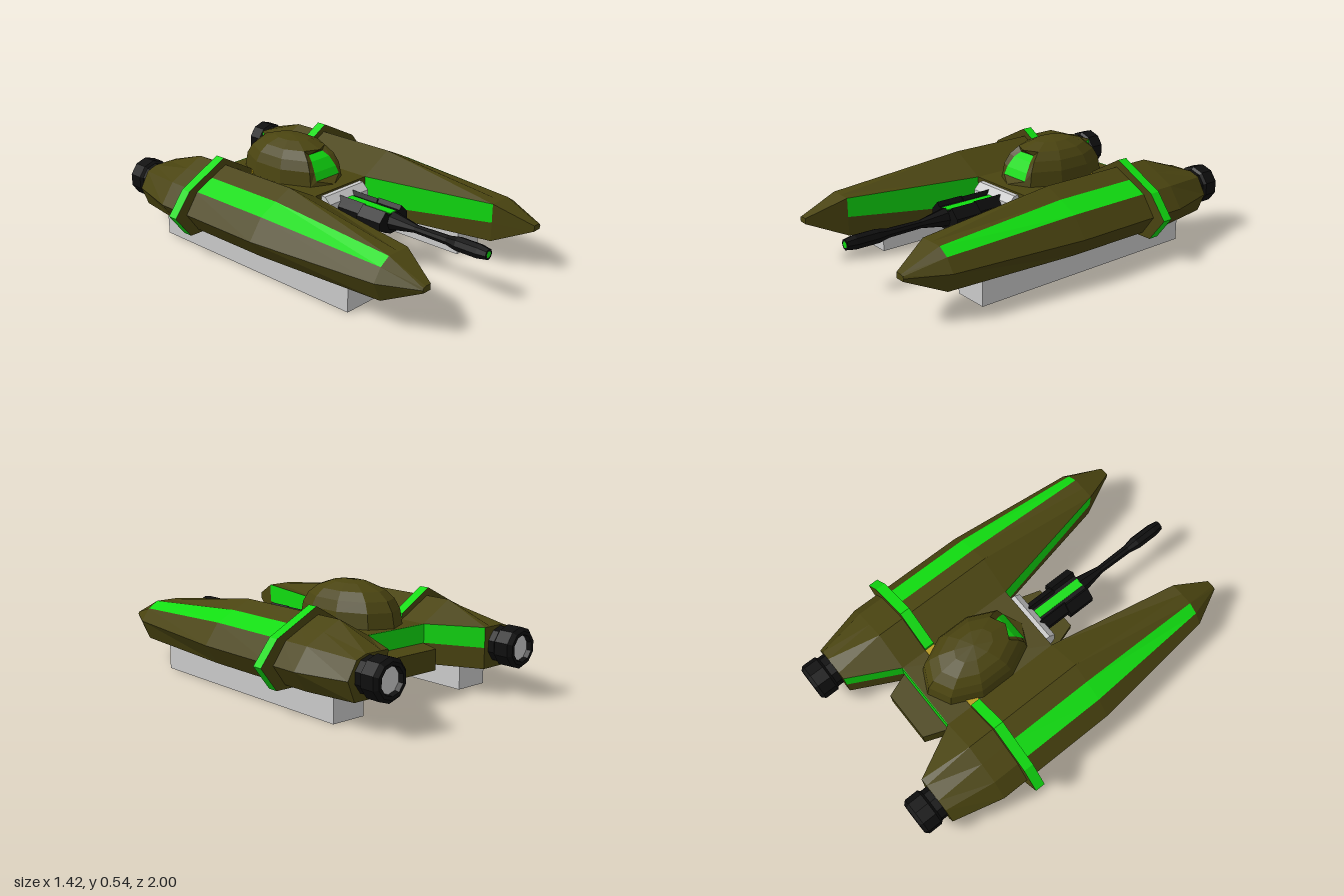
import * as THREE from 'three';

const mat = (name, color) => Object.assign(new THREE.MeshStandardMaterial({ color }), { name });

export function createModel() {
  const olive = mat('olive', 0x4a4410), green = mat('green', 0x10dc10), grey = mat('light grey', 0xcccccc);
  const black = mat('black', 0x0e0e0e), yellow = mat('dull yellow', 0xb89a10);
  const model = new THREE.Group();

  const add = (name, geometry, material, x = 0, y = 0, z = 0) => {
    const mesh = new THREE.Mesh(geometry, material);
    mesh.name = name;
    mesh.position.set(x, y, z);
    model.add(mesh);
    return mesh;
  };
  // faceted geometry from a list of corner points, three per triangle
  const faceted = (points) => {
    const g = new THREE.BufferGeometry();
    g.setAttribute('position', new THREE.Float32BufferAttribute(points.flat(), 3));
    g.computeVertexNormals();
    return g;
  };
  const quad = (out, a, b, c, d) => out.push(a, b, c, a, c, d);
  const box = (name, x0, x1, y0, y1, z0, z1, m) =>
    add(name, new THREE.BoxGeometry(x1 - x0, y1 - y0, z1 - z0), m, (x0 + x1) / 2, (y0 + y1) / 2, (z0 + z1) / 2);
  const extrude = (pts, depth) =>
    new THREE.ExtrudeGeometry(new THREE.Shape(pts.map(p => new THREE.Vector2(...p))), { depth, bevelEnabled: false });
  const lathe = (profile, sides) => {
    const g = new THREE.LatheGeometry(profile.map(p => new THREE.Vector2(...p)), sides).toNonIndexed();
    g.computeVertexNormals();
    return g;
  };

  // ---- side pods: cross-sections from nose to tail, inner bottom round to outer bottom
  const mid = (lip) => [[.19, .135], [.19, lip], [.19, .335], [.37, .435], [.465, .39], [.565, .34], [.64, .235], [.57, .135]];
  const sections = [
    [.985, [[.415, .22], [.415, .235], [.415, .25], [.43, .25], [.45, .25], [.465, .245], [.47, .235], [.465, .22]]],
    [.79, [[.335, .135], [.335, .235], [.335, .335], [.40, .335], [.465, .335], [.52, .30], [.565, .235], [.52, .135]]],
    [.08, mid(.18)],
    [-.42, mid(.24)],
    [-.59, mid(.24)],
    [-.86, [[.33, .135], [.33, .24], [.33, .34], [.37, .34], [.465, .34], [.52, .32], [.57, .235], [.53, .135]]],
  ];
  const isGreen = (i, j) => (j === 4 && (i === 1 || i === 2)) || (j === 1 && (i === 1 || i === 4));

  for (const s of [1, -1]) {
    const side = s > 0 ? 'left' : 'right';
    const rings = sections.map(([z, pts]) => pts.map(([x, y]) => [s * x, y, z]));
    const hull = [], paint = [];
    const face = (out, a, b, c, d) => (s > 0 ? quad(out, a, b, c, d) : quad(out, d, c, b, a));
    for (let i = 0; i < rings.length - 1; i++) {
      for (let j = 0; j < 8; j++) {
        const k = (j + 1) % 8;
        face(isGreen(i, j) ? paint : hull, rings[i][j], rings[i][k], rings[i + 1][k], rings[i + 1][j]);
      }
    }
    const nose = rings[0], tail = rings[rings.length - 1];
    for (const j of [0, 2, 4]) { // end caps, as fans of quads
      face(hull, nose[0], nose[j + 3] || nose[7], nose[j + 2], nose[j + 1]);
      face(hull, tail[0], tail[j + 1], tail[j + 2], tail[j + 3] || tail[7]);
    }
    add(side + 'Pod', faceted(hull), olive);
    add(side + 'PodStripes', faceted(paint), green);

    // raised band around the pod
    const band = [[.19, .115], [.62, .115], [.71, .235], [.615, .355], [.38, .475], [.19, .365]];
    add(side + 'Band', extrude(band.map(([x, y]) => [s * x, y]), .055), [olive, green], 0, 0, -.445);

    // landing skid
    box(side + 'Skid', s > 0 ? .33 : -.515, s > 0 ? .515 : -.33, 0, .137, -.71, .595, grey);

    // engine nozzle with a recessed disc
    const nozzle = lathe([[.09, 0], [.09, .035], [.103, .047], [.103, .122], [.085, .14], [.068, .14], [.063, .115]], 10);
    add(side + 'Engine', nozzle.rotateX(-Math.PI / 2), black, s * .444, .245, -.86);
    add(side + 'EngineDisc', new THREE.CircleGeometry(.068, 10).rotateY(Math.PI), grey, s * .444, .245, -.976);
  }

  // ---- centre body
  box('centreBody', -.19, .19, .135, .335, -.59, .08, olive);
  box('rearPanel', -.19, .19, .24, .335, -.594, -.589, green);
  box('centreBand', -.19, .19, .115, .345, -.445, -.39, yellow);
  // tapering floor ledges, drawn in plan and laid flat
  const ledge = (name, pts, height) =>
    add(name, extrude(pts.map(([x, z]) => [x, -z]), height).rotateX(-Math.PI / 2), olive, 0, .135, 0);
  ledge('frontLedge', [[-.19, .08], [-.13, .27], [.13, .27], [.19, .08]], .042);
  ledge('rearLedge', [[-.19, -.59], [-.14, -.72], [.14, -.72], [.19, -.59]], .105);

  // ---- cabin dome with a recessed front window
  const rows = [[.335, 1], [.41, .95], [.46, .84], [.50, .66], [.53, .36], [.54, 0]];
  const ring = rows.map(([y, r]) => Array.from({ length: 10 }, (_, j) => {
    const a = j * Math.PI / 5;
    return [.2 * r * Math.sin(a), y, -.27 + .305 * r * Math.cos(a)];
  }));
  const dome = [], glass = [];
  for (let i = 0; i < 5; i++) {
    for (let j = 0; j < 10; j++) {
      if (i < 3 && (j === 0 || j === 9)) continue;
      const k = (j + 1) % 10;
      if (i === 4) dome.push(ring[i][j], ring[i][k], ring[5][0]);
      else quad(dome, ring[i][j], ring[i][k], ring[i + 1][k], ring[i + 1][j]);
    }
  }
  const right = [[.085, .36, -.012], [.08, .40, -.03], [.066, .45, -.065], [.05, .475, -.1]];
  const left = right.map(([x, y, z]) => [-x, y, z]);
  for (let r = 0; r < 3; r++) {
    quad(glass, left[r], right[r], right[r + 1], left[r + 1]);
    quad(dome, right[r], ring[r][1], ring[r + 1][1], right[r + 1]);
    quad(dome, ring[r][9], left[r], left[r + 1], ring[r + 1][9]);
  }
  const [lo, hi] = [ring[0], ring[3]];
  dome.push(lo[9], lo[0], left[0], lo[0], right[0], left[0], lo[0], lo[1], right[0]);
  dome.push(left[3], right[3], hi[0], left[3], hi[0], hi[9], right[3], hi[1], hi[0]);
  add('dome', faceted(dome), olive);
  add('domeWindow', faceted(glass), green);

  // ---- gun: mount, housing and barrel
  const mount = extrude([[-.07, .175], [-.07, .325], [-.105, .325], [-.14, .29], [-.14, .21], [-.105, .175]], .29);
  add('gunMount', mount.rotateY(Math.PI / 2), grey, -.145, 0, 0);
  const half = [[.02, .29], [.045, .29], [.06, .312], [.107, .265], [.107, .225], [.06, .2], [.02, .185]];
  const outline = [...half, ...half.map(([x, y]) => [-x, y]).reverse()];
  add('gunHousing', extrude(outline, .15), black, 0, 0, .285);
  add('gunBreech', extrude(outline.map(([x, y]) => [x * .8, y]), .17), black, 0, 0, .12);
  box('gunStripe', -.024, .024, .288, .294, .14, .432, green);
  const barrel = lathe([[.05, .43], [.022, .58], [.025, .77], [.037, .83], [.037, .95], [.028, 1], [0, 1]], 8);
  add('gunBarrel', barrel.rotateX(Math.PI / 2), black, 0, .247, 0);
  add('muzzle', new THREE.CircleGeometry(.017, 8), green, 0, .247, 1.001);

  return model;
}
